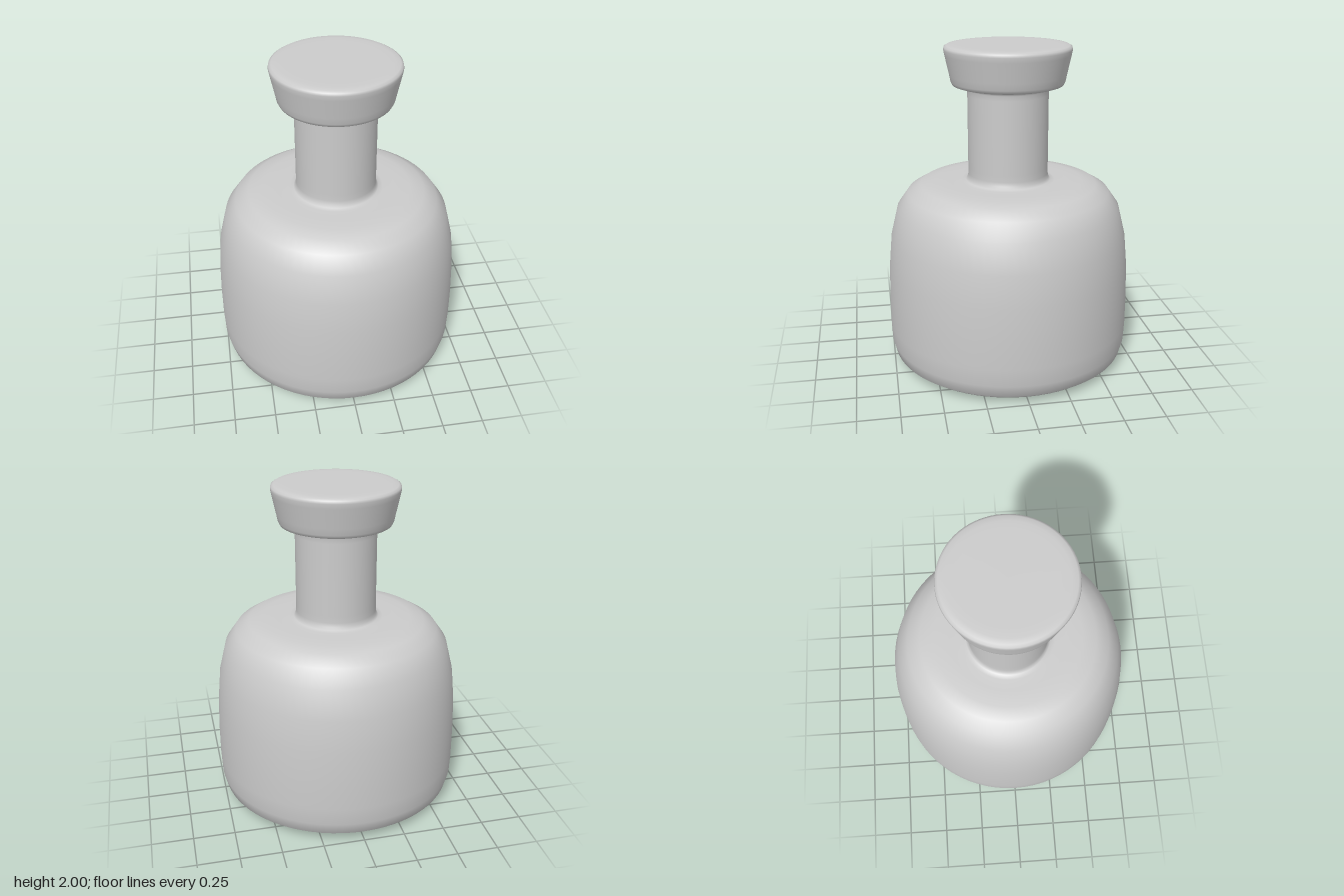
import * as THREE from 'three';

const SEGMENTS = 72;

// Revolve an [radius, height] profile, listed bottom to top, around the y axis.
function turned(name, profile, material) {
  const points = profile.map(([r, y]) => new THREE.Vector2(r, y));
  const mesh = new THREE.Mesh(new THREE.LatheGeometry(points, SEGMENTS), material);
  mesh.name = name;
  return mesh;
}

export function createModel() {
  const group = new THREE.Group();
  group.name = 'stopperedBottle';
  const material = new THREE.MeshStandardMaterial({ color: 0xcccccc });

  // Wide body: flat base, tight lower edge, rounded shoulder, fillet into the neck
  group.add(turned('body', [
    [0, 0], [0.4, 0.003], [0.59, 0.012], [0.7, 0.026], [0.738, 0.055], [0.758, 0.13],
    [0.763, 0.24], [0.763, 0.42], [0.757, 0.62], [0.738, 0.82], [0.694, 1.0],
    [0.626, 1.097], [0.545, 1.145], [0.46, 1.16], [0.36, 1.163], [0.29, 1.164],
    [0.262, 1.169], [0.25, 1.185], [0.247, 1.21], [0.247, 1.25],
  ], material));

  // Straight neck
  group.add(turned('neck', [[0.247, 1.25], [0.247, 1.7]], material));

  // Flared stopper with softened rims and a flat top
  group.add(turned('stopper', [
    [0.247, 1.7], [0.247, 1.73], [0.253, 1.745], [0.27, 1.75], [0.315, 1.754],
    [0.336, 1.761], [0.346, 1.78], [0.354, 1.82], [0.38, 1.94], [0.386, 1.97],
    [0.383, 1.986], [0.368, 1.995], [0.335, 1.999], [0.28, 2], [0, 2],
  ], material));

  return group;
}
